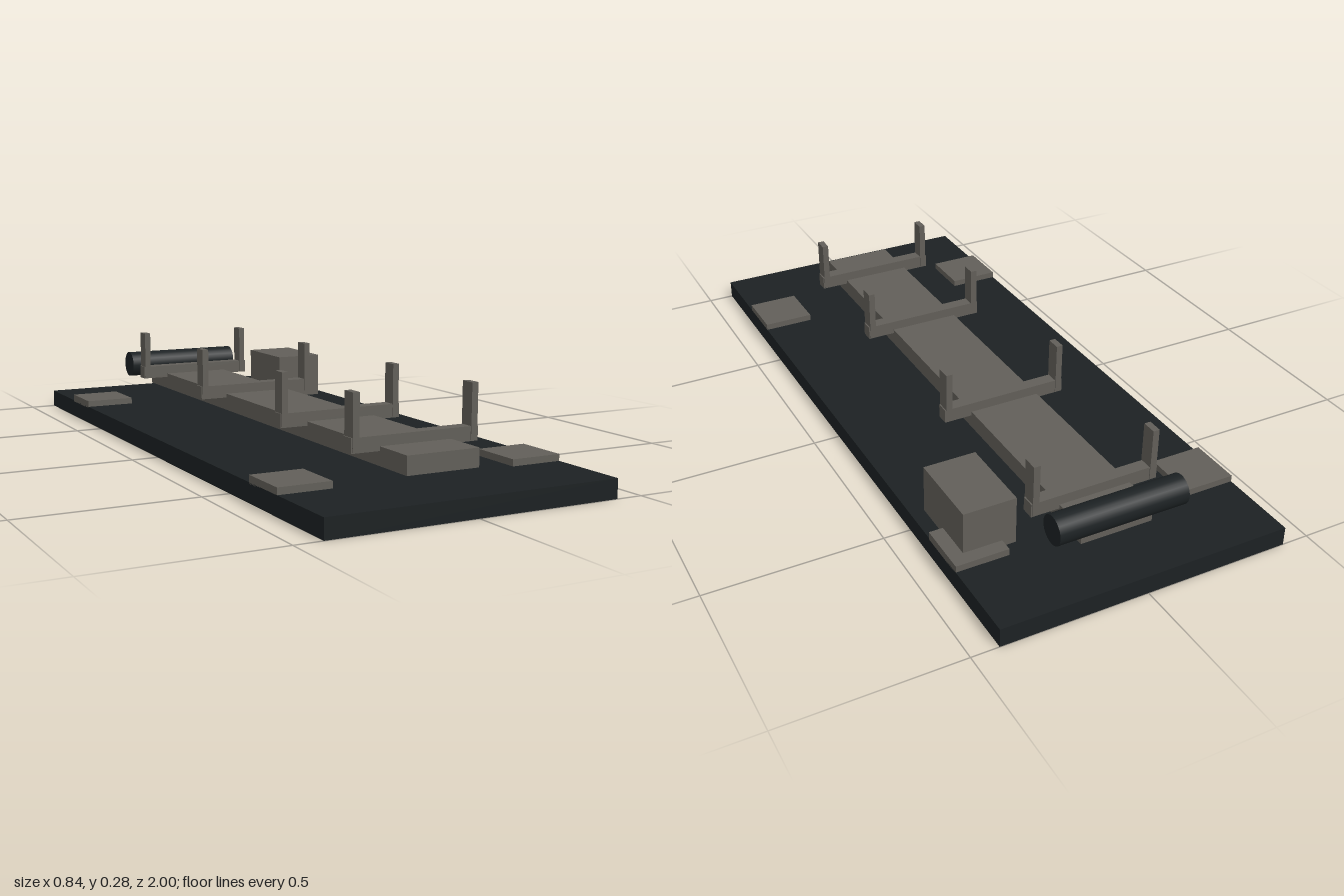
import * as THREE from 'three';

const dark = new THREE.MeshStandardMaterial({ color: 0x1c2123 });
const metal = new THREE.MeshStandardMaterial({ color: 0x625f59 });

// Box given by its extents along each axis
function box(name, material, [x0, x1], [y0, y1], [z0, z1]) {
  const mesh = new THREE.Mesh(new THREE.BoxGeometry(x1 - x0, y1 - y0, z1 - z0), material);
  mesh.position.set((x0 + x1) / 2, (y0 + y1) / 2, (z0 + z1) / 2);
  mesh.name = name;
  return mesh;
}

// U-shaped support: a crossbar with an upright at each end
function createCradle(z) {
  const cradle = new THREE.Group();
  cradle.name = 'cradle';
  cradle.position.z = z;
  cradle.add(box('crossbar', metal, [-0.191, 0.191], [0.122, 0.162], [-0.019, 0.019]));
  for (const side of [-1, 1]) {
    const post = box('post', metal, [-0.0095, 0.0095], [0.125, 0.277], [-0.0215, 0.0215]);
    post.position.x = side * 0.178;
    cradle.add(post);
  }
  return cradle;
}

export function createModel() {
  const model = new THREE.Group();
  model.name = 'cradleBed';

  // Base plate and raised central beam
  model.add(box('basePlate', dark, [-0.422, 0.422], [0, 0.054], [-1, 1]));
  model.add(box('centralBeam', metal, [-0.107, 0.107], [0.083, 0.134], [-0.845, 0.845]));

  // Corner pads
  for (const x of [-0.346, 0.346]) {
    for (const z of [-0.692, 0.692]) {
      const pad = box('cornerPad', metal, [-0.076, 0.076], [0.05, 0.073], [-0.077, 0.077]);
      pad.position.x = x;
      pad.position.z = z;
      model.add(pad);
    }
  }

  // Cradles along the beam
  for (const z of [0.7, 0.314, -0.225, -0.717]) model.add(createCradle(z));

  // Equipment box at the rear left
  model.add(box('equipmentBox', metal, [0.23, 0.382], [0.052, 0.193], [-0.73, -0.503]));

  // Cross roller at the rear end of the beam
  const roller = new THREE.Mesh(new THREE.CylinderGeometry(0.042, 0.042, 0.384, 24), dark);
  roller.name = 'roller';
  roller.rotation.z = Math.PI / 2;
  roller.position.set(0, 0.155, -0.841);
  model.add(roller);

  return model;
}
